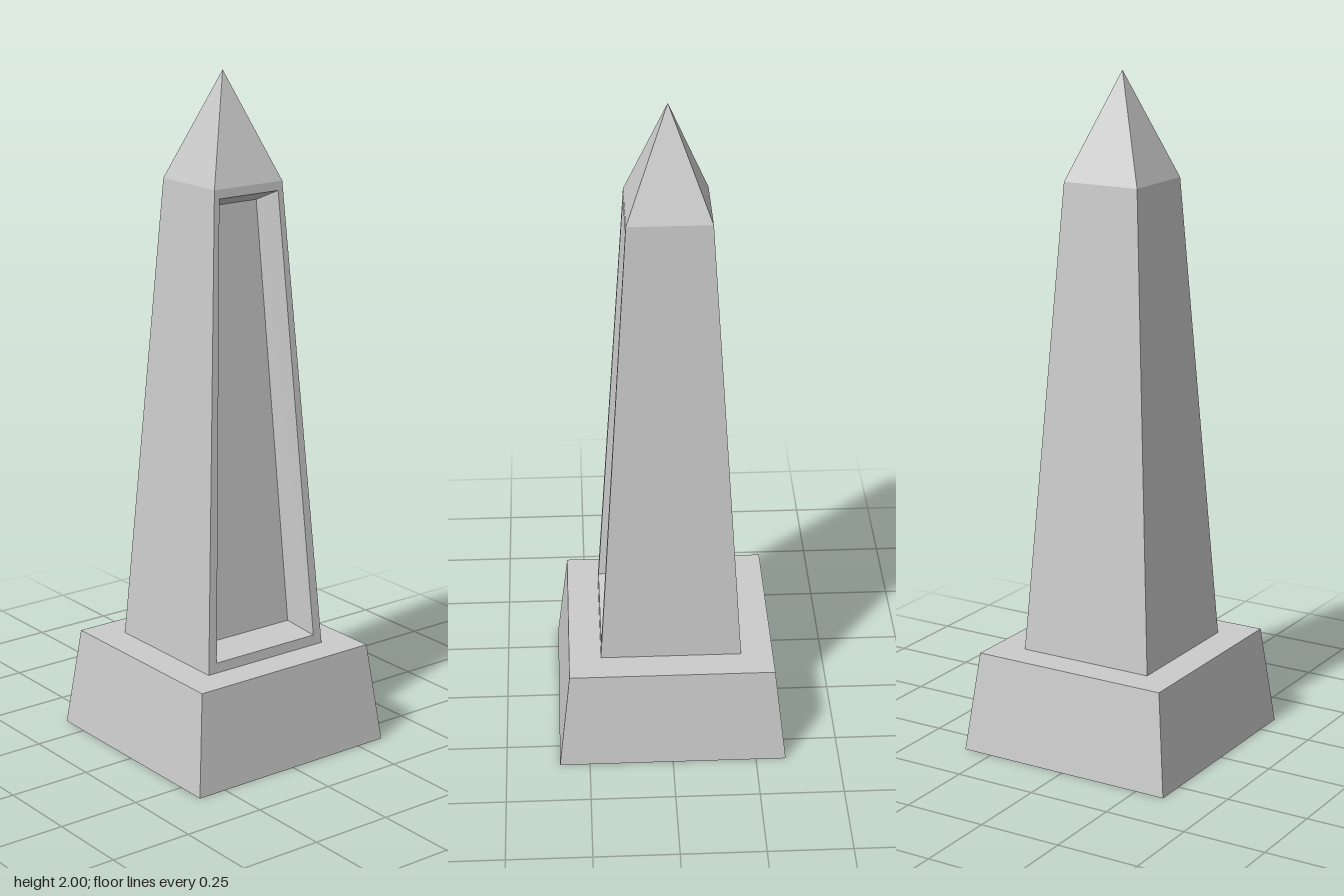
import * as THREE from 'three';

const BASE_Y = 0.3, SHAFT_Y = 1.69, TOP_Y = 2;
const BASE_BOTTOM = 0.34, BASE_TOP = 0.305, SHAFT_BOTTOM = 0.21, SHAFT_TOP = 0.12;

// Square cross-section, corners running front-left, front-right, back-right, back-left
const square = (h, y) => [[-h, y, h], [h, y, h], [h, y, -h], [-h, y, -h]];

// Depth of the sloping front face at a given height
const faceZ = y => THREE.MathUtils.mapLinear(y, BASE_Y, SHAFT_Y, SHAFT_BOTTOM, SHAFT_TOP);

// Trapezoid parallel to the front face, set back by depth
const trapezoid = (wBottom, yBottom, wTop, yTop, depth = 0) => [
  [-wBottom, yBottom, faceZ(yBottom) - depth], [wBottom, yBottom, faceZ(yBottom) - depth],
  [wTop, yTop, faceZ(yTop) - depth], [-wTop, yTop, faceZ(yTop) - depth],
];

// Joins successive four-cornered loops with flat quads
function skin(loops, { sides = [0, 1, 2, 3], cap = false } = {}) {
  const pos = [];
  const quad = (a, b, c, d) => pos.push(...a, ...b, ...c, ...a, ...c, ...d);
  for (let i = 0; i < loops.length - 1; i++) {
    const lo = loops[i], hi = loops[i + 1];
    for (const s of sides) quad(lo[s], lo[(s + 1) % 4], hi[(s + 1) % 4], hi[s]);
  }
  if (cap) quad(...loops[loops.length - 1]);
  const geo = new THREE.BufferGeometry();
  geo.setAttribute('position', new THREE.Float32BufferAttribute(pos, 3));
  geo.computeVertexNormals();
  return geo;
}

export function createModel() {
  const group = new THREE.Group();
  const material = new THREE.MeshStandardMaterial({
    color: 0xcccccc, flatShading: true, side: THREE.DoubleSide,
  });
  const add = (name, geometry) => {
    const mesh = new THREE.Mesh(geometry, material);
    mesh.name = name;
    group.add(mesh);
    return mesh;
  };

  // Hollow plinth, open below, with a ledge running in to the shaft
  add('plinth', skin([
    square(BASE_BOTTOM, 0), square(BASE_TOP, BASE_Y), square(SHAFT_BOTTOM, BASE_Y),
  ]));

  // Right, back and left faces of the tapering shaft
  add('shaft', skin([square(SHAFT_BOTTOM, BASE_Y), square(SHAFT_TOP, SHAFT_Y)], { sides: [1, 2, 3] }));

  // Front face: narrow frame, then bevelled walls in to the recessed panel
  const face = trapezoid(SHAFT_BOTTOM, BASE_Y, SHAFT_TOP, SHAFT_Y);
  const opening = trapezoid(0.18, 0.33, 0.104, 1.664);
  const back = trapezoid(0.143, 0.362, 0.082, 1.63, 0.074);
  add('frontFrame', skin([face, opening]));
  add('recessedPanel', skin([opening, back], { cap: true }));

  // Pointed cap
  const capHeight = TOP_Y - SHAFT_Y;
  const tip = add('pyramidCap', new THREE.ConeGeometry(SHAFT_TOP * Math.SQRT2, capHeight, 4, 1, true));
  tip.rotation.y = Math.PI / 4;
  tip.position.y = SHAFT_Y + capHeight / 2;

  return group;
}
